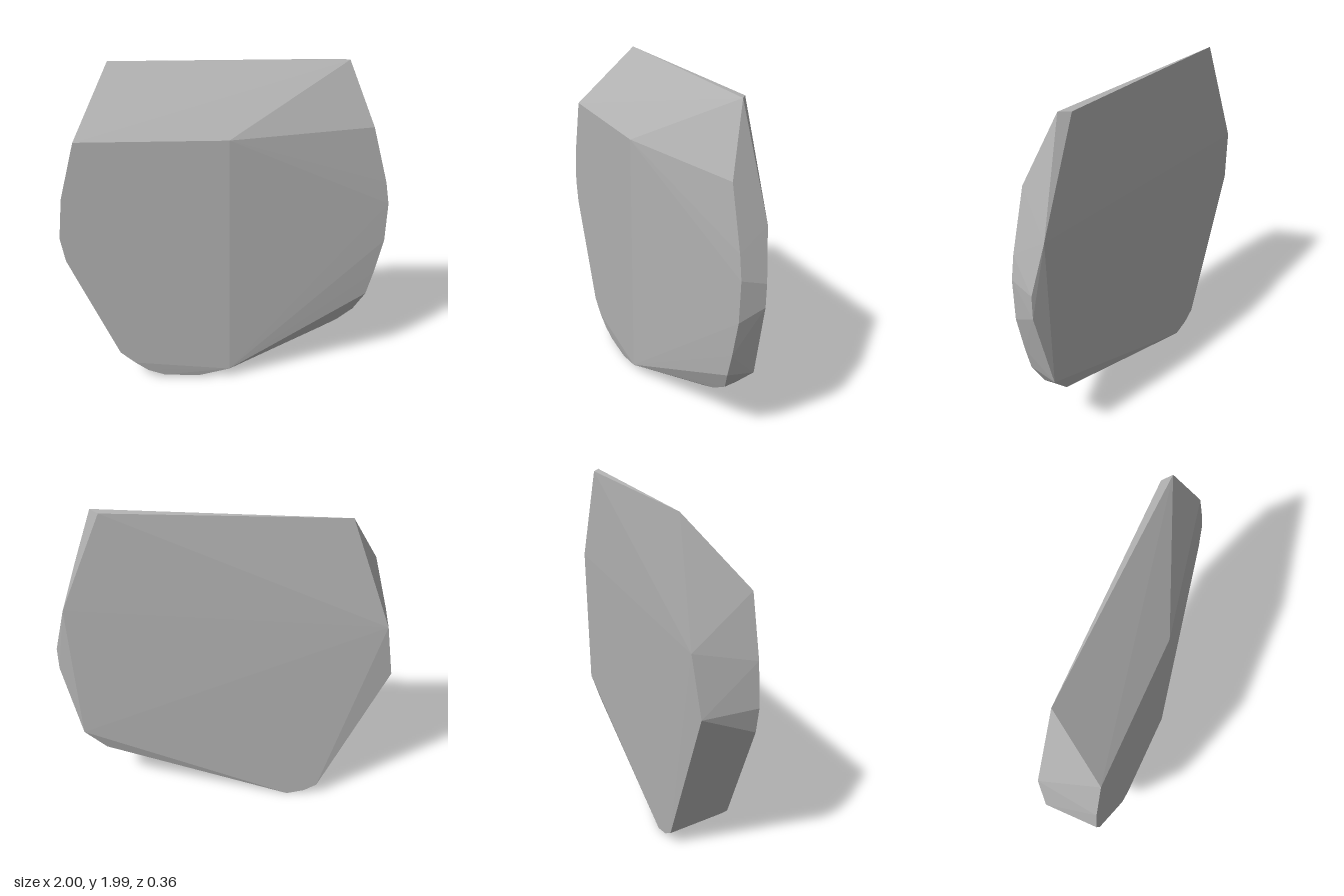
import * as THREE from 'three';
import { ConvexGeometry } from 'three/addons/geometries/ConvexGeometry.js';

// A flat, chipped slab of stone: the convex hull of its outline corners.
export function createModel() {
  const group = new THREE.Group();
  group.name = 'stoneSlab';

  const stone = new THREE.MeshStandardMaterial({ color: 0xb2b2b2, flatShading: true });
  stone.name = 'stoneGrey';

  const corners = [
    // front face, flat half
    [0, 1.61, 0.177], [-0.875, 1.61, 0.177], [-0.97, 1.27, 0.177], [-1, 1.02, 0.177],
    [-0.975, 0.87, 0.177], [-0.69, 0.21, 0.177], [-0.6, 0.13, 0.177], [0, 0.065, 0.177],
    // rounded lower corner, front edge
    [-0.52, 0.065, 0.17], [-0.42, 0.025, 0.166], [-0.2, 0.01, 0.165],
    // front face, edge of the sloping half
    [0.86, 1.62, 0], [0.96, 1.27, 0], [0.985, 1.13, 0], [0.98, 0.88, 0], [0.93, 0.65, 0],
    [0.89, 0.5, 0], [0.82, 0.37, -0.03], [0.72, 0.3, -0.02], [0.62, 0.26, 0],
    // top ridge
    [-0.69, 1.99, -0.145], [0.715, 1.99, -0.125], [0.66, 1.985, -0.17],
    // back face
    [-0.94, 1.35, -0.18], [-1, 1.01, -0.145], [-0.62, 0.09, -0.15], [-0.54, 0.035, -0.15],
    [-0.43, 0, -0.15], [0.76, 0.33, -0.14], [0.89, 0.47, -0.17], [1, 0.95, -0.145],
    [1, 1.09, -0.145], [0.92, 1.38, -0.18],
  ].map((p) => new THREE.Vector3(...p));

  const slab = new THREE.Mesh(new ConvexGeometry(corners), stone);
  slab.name = 'slab';
  group.add(slab);
  return group;
}
